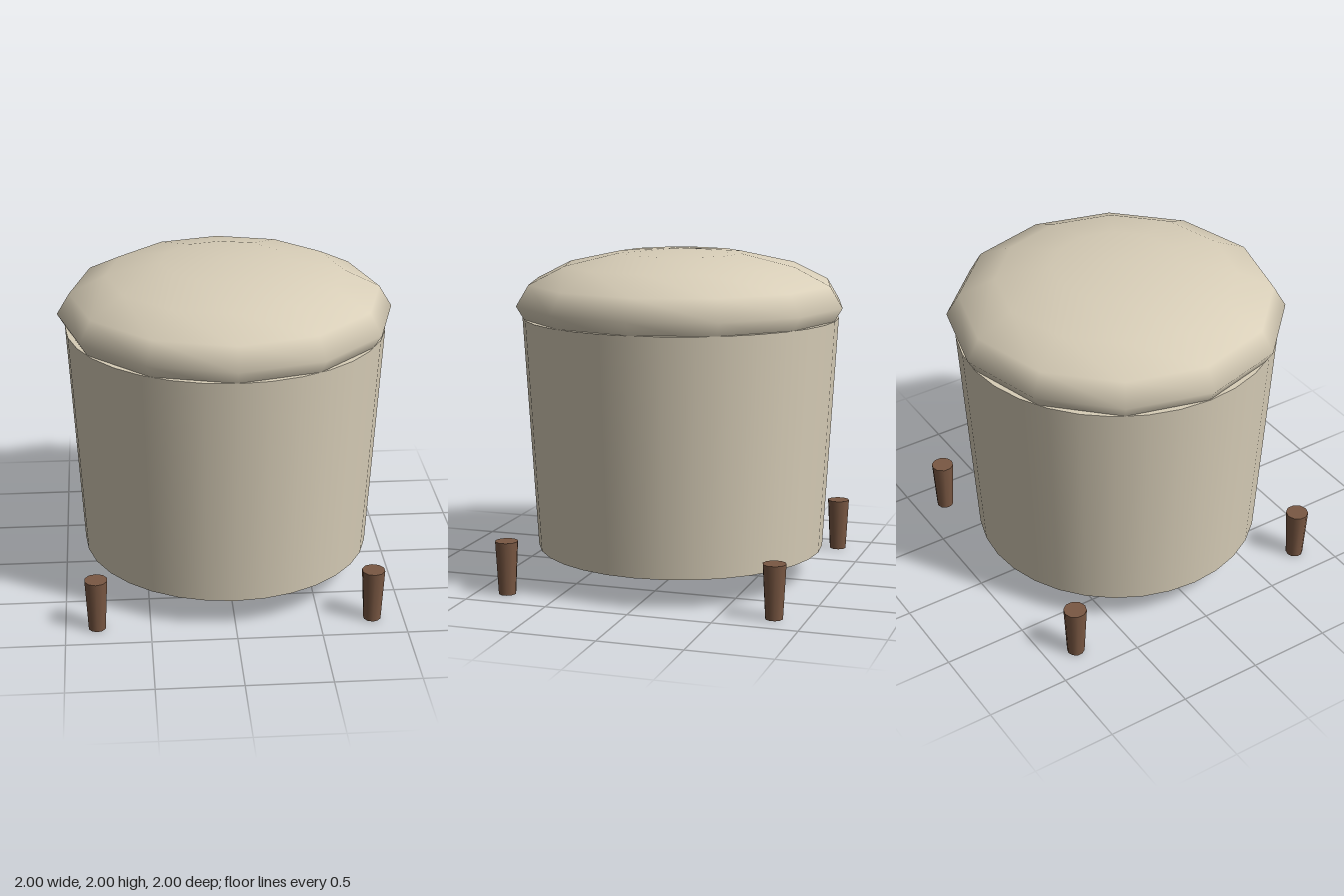
import * as THREE from 'three';

export function createModel() {
  const model = new THREE.Group();
  model.name = 'pouffe';
  const fabric = new THREE.MeshStandardMaterial({ color: 0xd8ceb8 });
  const wood = new THREE.MeshStandardMaterial({ color: 0x7a5843 });

  const add = (name, geometry, material, x, y, z) => {
    const mesh = new THREE.Mesh(geometry, material);
    mesh.name = name;
    mesh.position.set(x, y, z);
    model.add(mesh);
    return mesh;
  };

  // Tapered upholstered drum
  const bottom = 0.18, top = 1.59;
  add('body', new THREE.CylinderGeometry(0.955, 0.875, top - bottom, 32), fabric, 0, (top + bottom) / 2, 0);

  // Flattened, coarsely faceted cushion, its lower half sunk into the drum
  const cushion = add('cushion', new THREE.SphereGeometry(1, 12, 8), fabric, 0, 1.67, 0);
  cushion.scale.y = 0.33;

  // Four tapered legs at the corners
  const legHeight = 0.32, legOffset = 0.815;
  const legGeometry = new THREE.CylinderGeometry(0.069, 0.052, legHeight, 10);
  for (const [end, z] of [['front', legOffset], ['back', -legOffset]]) {
    for (const [side, x] of [['Left', legOffset], ['Right', -legOffset]]) {
      add(`${end}${side}Leg`, legGeometry, wood, x, legHeight / 2, z);
    }
  }
  return model;
}
